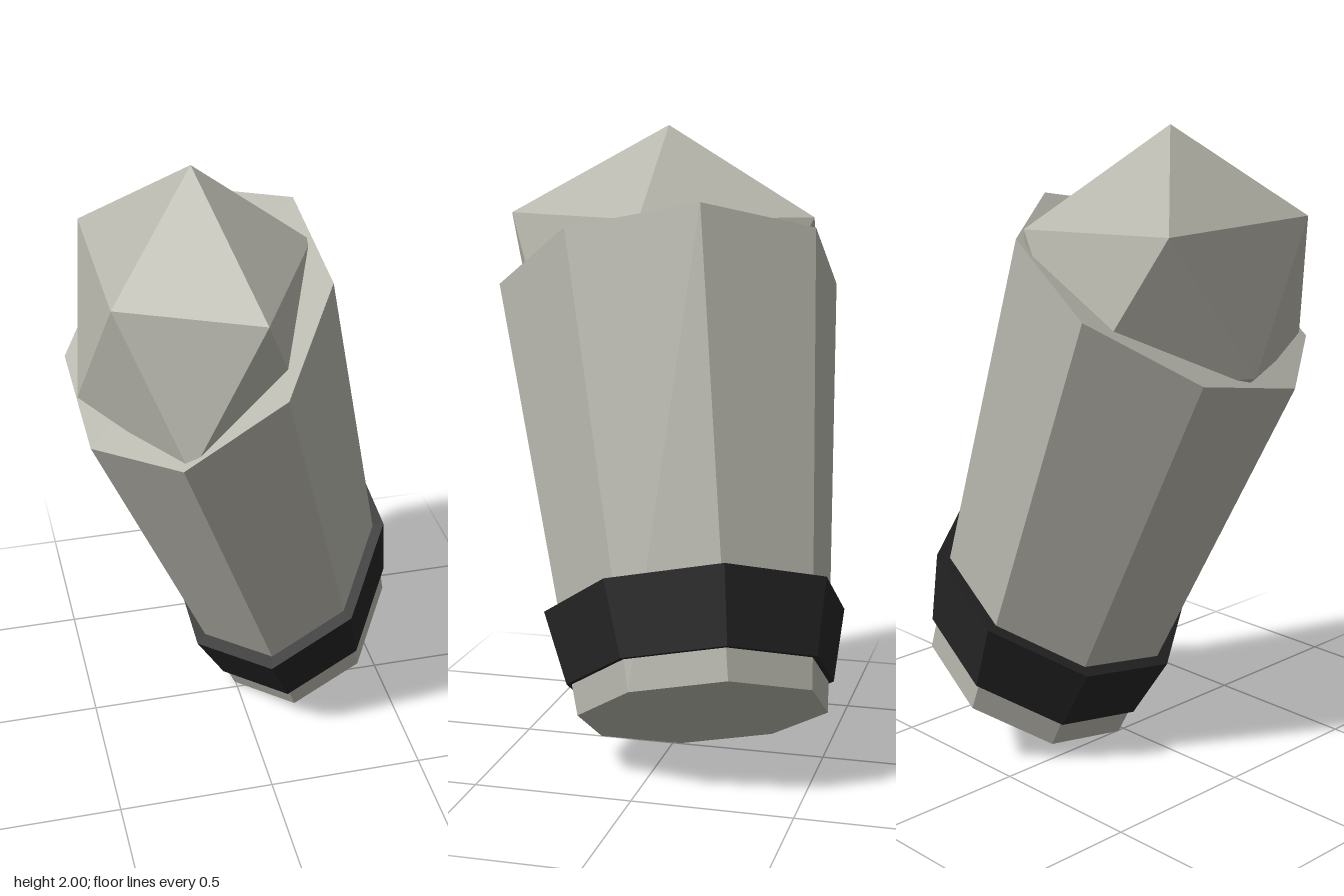
import * as THREE from 'three';

// Sheared frame of the leaning octagonal body: side axes and the long axis
const ACROSS = new THREE.Vector3(0.1625, 0.0025, 0.5175);
const DOWNHILL = new THREE.Vector3(-0.3525, -0.2825, 0.19);
const BASE = new THREE.Vector3(0.25, 0.2025, -0.163);
const TOP = new THREE.Vector3(-0.1475, 1.4975, 0.0525);
const FRAME = new THREE.Matrix4()
  .makeBasis(ACROSS, TOP.clone().sub(BASE), DOWNHILL)
  .setPosition(BASE);

// Octagonal frustum between two fractions of the long axis
function frustum(name, from, to, radiusFrom, radiusTo, material) {
  let geo = new THREE.CylinderGeometry(radiusTo, radiusFrom, to - from, 8);
  geo.translate(0, (from + to) / 2, 0);
  geo.applyMatrix4(FRAME);
  geo = geo.toNonIndexed();
  geo.computeVertexNormals();
  const mesh = new THREE.Mesh(geo, material);
  mesh.name = name;
  return mesh;
}

export function createModel() {
  const grey = new THREE.MeshStandardMaterial({ name: 'warm grey', color: 0xb6b5ab, flatShading: true });
  const black = new THREE.MeshStandardMaterial({ name: 'black', color: 0x242424, flatShading: true });

  const group = new THREE.Group();
  group.name = 'bandedStub';

  // Tapered sleeve and the flared band near its foot
  group.add(frustum('sleeve', 0, 1, 0.72, 1, grey));
  group.add(frustum('band', 0.07, 0.235, 0.77, 0.87, black));

  // Stretched icosahedron standing on a vertex, seated in the sleeve
  const gem = new THREE.IcosahedronGeometry(1, 0);
  gem.rotateZ(-Math.atan(2 / (1 + Math.sqrt(5))));
  gem.scale(0.402, 0.497, 0.576);
  gem.scale(1, 1, 1);
  gem.translate(-0.148, 1.503, 0.052);
  gem.computeVertexNormals();
  const tip = new THREE.Mesh(gem, grey);
  tip.name = 'facetedTip';
  group.add(tip);

  return group;
}
